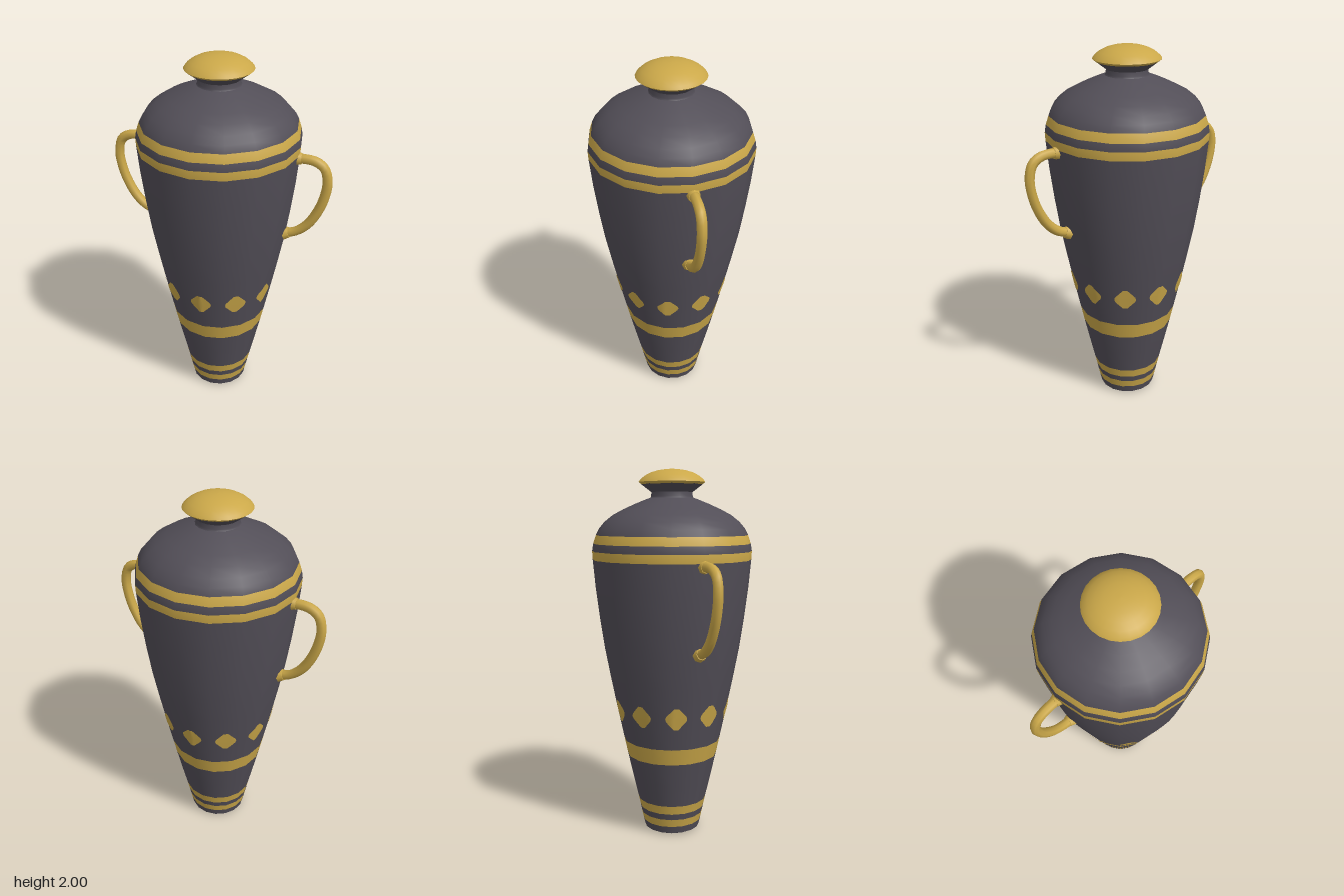
import * as THREE from 'three';

const SIDES = 16;
const charcoal = new THREE.MeshStandardMaterial({ color: 0x524e57 });
charcoal.name = 'charcoal';
const gold = new THREE.MeshStandardMaterial({ color: 0xcba849 });
gold.name = 'gold';

const toPoints = (list) => list.map(([r, y]) => new THREE.Vector2(r, y));

// Body profile from the foot to the neck; gold marks the row above a point
const profile = [
  [0.155, 0.01], [0.164, 0.05, gold], [0.174, 0.095], [0.181, 0.13, gold], [0.192, 0.18],
  [0.222, 0.31], [0.251, 0.44, gold], [0.27, 0.53], [0.308, 0.71], [0.34, 0.87],
  [0.37, 1.03], [0.395, 1.2], [0.416, 1.37], [0.43, 1.525, gold], [0.432, 1.57],
  [0.425, 1.61, gold], [0.41, 1.655], [0.392, 1.69], [0.362, 1.725], [0.318, 1.76],
  [0.262, 1.79], [0.195, 1.82], [0.14, 1.842], [0.116, 1.85],
];

function mesh(name, geometry, material) {
  const m = new THREE.Mesh(geometry, material);
  m.name = name;
  return m;
}

const lathe = (list, sides = SIDES) => new THREE.LatheGeometry(toPoints(list), sides);

// Lathe whose rows are sorted into two material groups
function bandedBody() {
  const geo = lathe(profile);
  const index = geo.index.array;
  const dark = [], bright = [];
  const rows = profile.length - 1;
  for (let i = 0; i < index.length; i += 6) {
    const row = (i / 6) % rows;
    (profile[row][2] ? bright : dark).push(...index.slice(i, i + 6));
  }
  geo.setIndex([...dark, ...bright]);
  geo.addGroup(0, dark.length, 0);
  geo.addGroup(dark.length, bright.length, 1);
  return mesh('body', geo, [charcoal, gold]);
}

// Radius of the faceted body at a height and angle
function bodyRadius(y, angle) {
  const k = profile.findIndex((p) => p[1] > y);
  const [r0, y0] = profile[k - 1], [r1, y1] = profile[k];
  const r = r0 + (r1 - r0) * (y - y0) / (y1 - y0);
  const step = 2 * Math.PI / SIDES;
  const local = angle - step * (Math.floor(angle / step) + 0.5);
  return r * Math.cos(step / 2) / Math.cos(local);
}

// Thin diamond wrapped onto the body
function diamond(center) {
  const geo = new THREE.PlaneGeometry(2, 2, 8, 8);
  const pos = geo.attributes.position;
  for (let i = 0; i < pos.count; i++) {
    const u = pos.getX(i), v = pos.getY(i);
    const y = 0.71 + v * 0.06;
    const angle = center + u * 0.2 * Math.min(0.95, 1.1 - 0.9 * Math.abs(v));
    const r = bodyRadius(y, angle) + 0.004;
    pos.setXYZ(i, r * Math.sin(angle), y, r * Math.cos(angle));
  }
  geo.computeVertexNormals();
  return mesh('diamond', geo, gold);
}

// Curved handle with a collar at each end
function handle(name) {
  const g = new THREE.Group();
  g.name = name;
  const path = new THREE.CatmullRomCurve3([
    [0.41, 1.505], [0.455, 1.51], [0.515, 1.503], [0.56, 1.472], [0.58, 1.4],
    [0.57, 1.31], [0.54, 1.22], [0.49, 1.135], [0.43, 1.083], [0.36, 1.06],
  ].map(([x, y]) => new THREE.Vector3(x, y, 0)));
  g.add(mesh('handleBar', new THREE.TubeGeometry(path, 28, 0.026, 8), gold));
  for (const [x, y, tilt] of [[0.427, 1.508, 0], [0.382, 1.064, 0.3]]) {
    const collar = mesh('handleCollar', new THREE.CylinderGeometry(0.029, 0.038, 0.03, 8), gold);
    collar.position.set(x, y, 0);
    collar.rotation.z = -Math.PI / 2 + tilt;
    g.add(collar);
  }
  return g;
}

export function createModel() {
  const model = new THREE.Group();
  model.name = 'amphora';
  model.add(bandedBody());

  // Foot
  model.add(mesh('foot', lathe([[0, 0], [0.135, 0]]), charcoal));
  model.add(mesh('footEdge', lathe([[0.135, 0], [0.155, 0.01]]), charcoal));

  // Neck and flared lip
  model.add(mesh('neck', lathe([[0.116, 1.85], [0.111, 1.858], [0.11, 1.88]]), charcoal));
  model.add(mesh('lip', lathe([[0.11, 1.88], [0.165, 1.922]]), charcoal));

  // Domed lid
  model.add(mesh('lidRim', lathe([[0.163, 1.92], [0.178, 1.932]], 24), gold));
  model.add(mesh('lid', lathe([
    [0.178, 1.932], [0.168, 1.946], [0.145, 1.965], [0.112, 1.982],
    [0.075, 1.993], [0.035, 1.999], [0, 2],
  ], 24), gold));

  // Ring of ten diamonds
  for (let i = 0; i < 10; i++) model.add(diamond(i * Math.PI / 5));

  // Handles
  const right = handle('rightHandle');
  right.rotation.y = Math.PI;
  model.add(handle('leftHandle'), right);
  return model;
}
